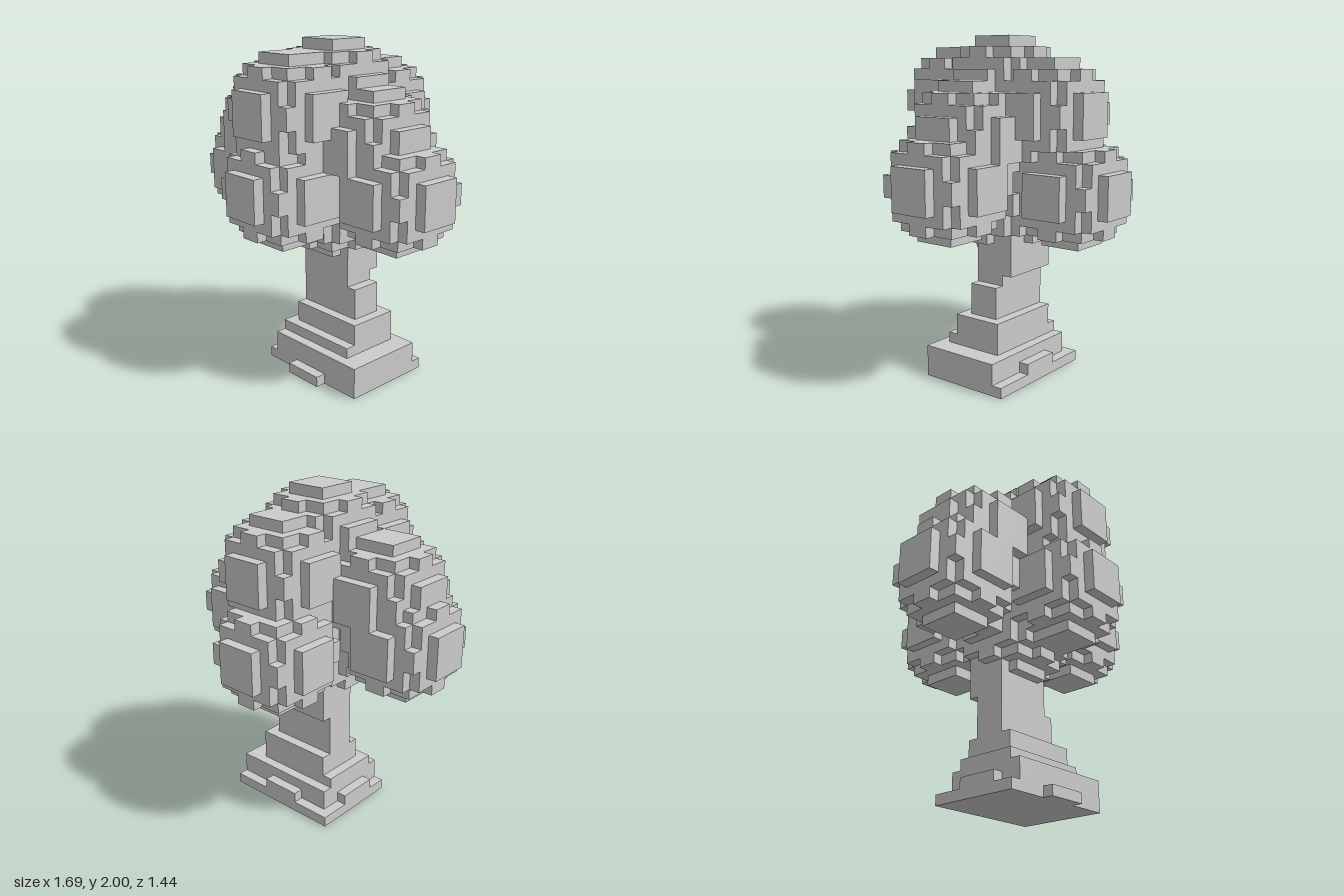
import * as THREE from 'three';

const U = 1 / 16;              // voxel size
const NX = 27, NY = 32, NZ = 23; // grid size

// The six faces of a voxel: outward normal n, edges u and v with u x v = n
const FACES = [];
for (let a = 0; a < 3; a++) {
  const axis = (i) => [0, 1, 2].map((j) => (j === i % 3 ? 1 : 0));
  const n = axis(a), u = axis(a + 1), v = axis(a + 2);
  FACES.push({ n, u, v, o: n });
  FACES.push({ n: n.map((c) => -c), u: v, v: u, o: [0, 0, 0] });
}

// Surface of all grid cells for which filled(x, y, z) is true
function voxelMesh(name, filled) {
  const inside = (x, y, z) =>
    x >= 0 && y >= 0 && z >= 0 && x < NX && y < NY && z < NZ && filled(x, y, z);
  const pos = [], nor = [], idx = [];
  for (let x = 0; x < NX; x++) for (let y = 0; y < NY; y++) for (let z = 0; z < NZ; z++) {
    if (!inside(x, y, z)) continue;
    for (const { n, u, v, o } of FACES) {
      if (inside(x + n[0], y + n[1], z + n[2])) continue;
      const b = pos.length / 3;
      for (const [s, t] of [[0, 0], [1, 0], [1, 1], [0, 1]]) {
        const p = [x, y, z].map((c, i) => c + o[i] + s * u[i] + t * v[i]);
        pos.push((p[0] - NX / 2) * U, p[1] * U, (p[2] - NZ / 2) * U);
        nor.push(...n);
      }
      idx.push(b, b + 1, b + 2, b, b + 2, b + 3);
    }
  }
  const g = new THREE.BufferGeometry();
  g.setAttribute('position', new THREE.Float32BufferAttribute(pos, 3));
  g.setAttribute('normal', new THREE.Float32BufferAttribute(nor, 3));
  g.setIndex(idx);
  const mesh = new THREE.Mesh(g, new THREE.MeshStandardMaterial({ color: 0xcccccc, flatShading: true }));
  mesh.name = name;
  return mesh;
}

// Union of voxel balls, given by centre in grid units
const inBalls = (balls, r) => (x, y, z) => balls.some(([cx, cy, cz]) =>
  (x + 0.5 - cx) ** 2 + (y + 0.5 - cy) ** 2 + (z + 0.5 - cz) ** 2 <= r * r);

// Union of blocks [x0, x1, y0, y1, z0, z1] in grid units
const inBlocks = (blocks) => (x, y, z) => blocks.some(([x0, x1, y0, y1, z0, z1]) =>
  x >= x0 && x < x1 && y >= y0 && y < y1 && z >= z0 && z < z1);

export function createModel() {
  const tree = new THREE.Group();
  tree.name = 'tree';

  // Leaf clusters of the crown
  const clusters = [
    [14, 27, 12], [14, 22, 12], [14, 17, 12], // core: top, middle, bottom
    [14, 19, 18], [14, 26, 17],               // front
    [13, 18, 5], [14, 25, 7],                 // back
    [22, 19, 12], [19, 23, 12],               // left (+x)
    [5, 19, 13], [7, 23, 13],                 // right (-x)
  ];
  tree.add(voxelMesh('foliage', inBalls(clusters, 5)));

  // Stepped trunk, flaring towards the ground
  const trunk = [
    [10, 19, 3, 4, 9, 15],
    [11, 19, 4, 6, 9, 14],
    [11, 18, 6, 9, 10, 13],
    [11, 17, 9, 14, 10, 13],
    [11, 17, 10, 14, 9, 10],
  ];
  tree.add(voxelMesh('trunk', inBlocks(trunk)));

  // Root base with low ledges
  const base = [
    [10, 21, 0, 3, 8, 16],
    [9, 21, 0, 1, 7, 8],
    [13, 17, 0, 2, 7, 8],
    [9, 10, 0, 1, 7, 16],
    [9, 10, 0, 2, 10, 14],
    [13, 17, 0, 1, 16, 17],
  ];
  tree.add(voxelMesh('rootBase', inBlocks(base)));

  return tree;
}
